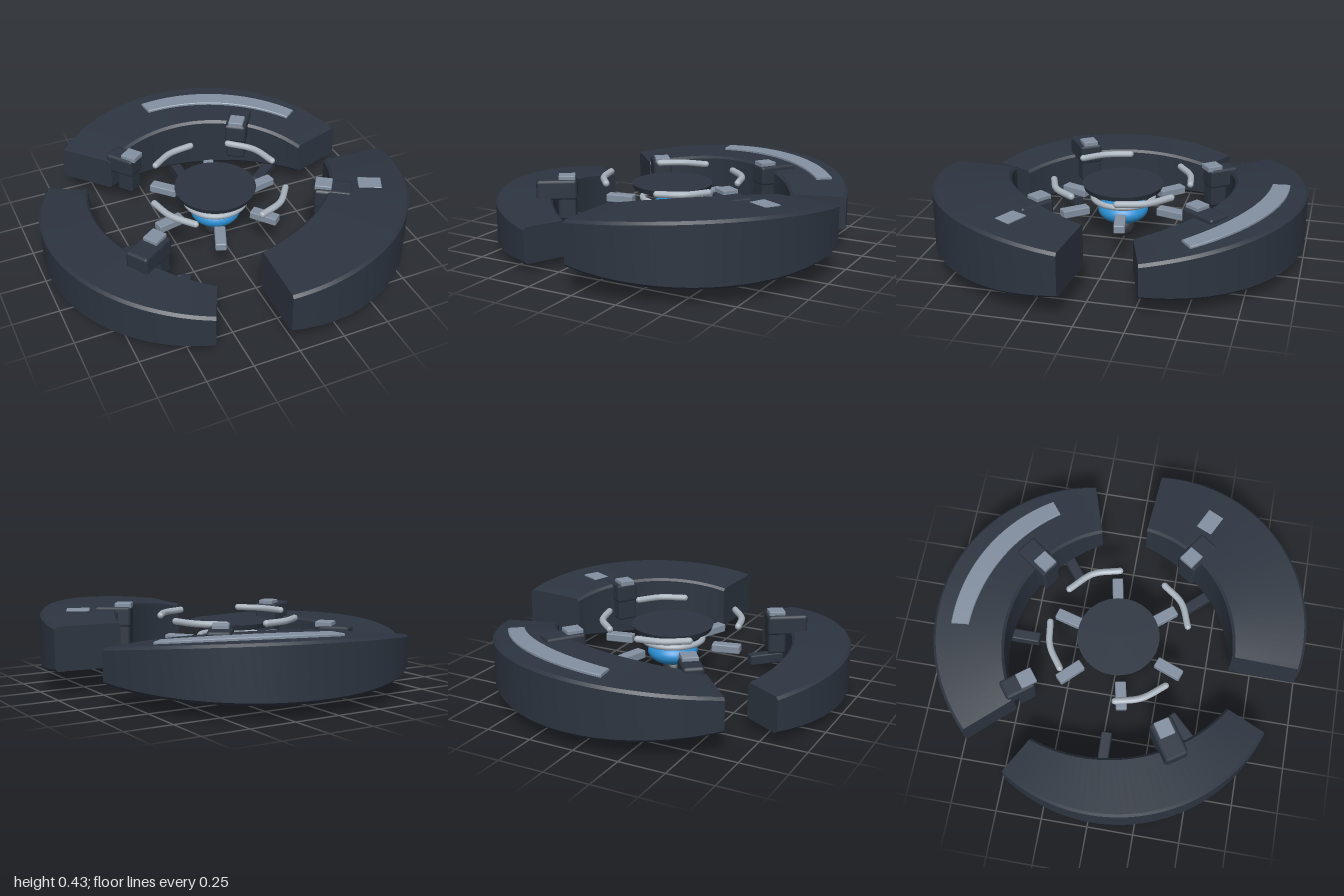
import * as THREE from 'three';
import { toCreasedNormals } from 'three/addons/utils/BufferGeometryUtils.js';
import { RoundedBoxGeometry } from 'three/addons/geometries/RoundedBoxGeometry.js';

const material = (name, color) => {
  const m = new THREE.MeshStandardMaterial({ color });
  m.name = name;
  return m;
};

// Plan arc (x, z) through three points, returned as a function of t in 0..1
function arcThrough([a, b, c]) {
  const sq = (p) => p[0] * p[0] + p[1] * p[1];
  const d = 2 * (a[0] * (b[1] - c[1]) + b[0] * (c[1] - a[1]) + c[0] * (a[1] - b[1]));
  const cx = (sq(a) * (b[1] - c[1]) + sq(b) * (c[1] - a[1]) + sq(c) * (a[1] - b[1])) / d;
  const cz = (sq(a) * (c[0] - b[0]) + sq(b) * (a[0] - c[0]) + sq(c) * (b[0] - a[0])) / d;
  const r = Math.hypot(a[0] - cx, a[1] - cz);
  const start = Math.atan2(a[1] - cz, a[0] - cx);
  let sweep = Math.atan2(c[1] - cz, c[0] - cx) - start;
  while (sweep < 0) sweep += Math.PI * 2;
  return (t) => [cx + r * Math.cos(start + sweep * t), cz + r * Math.sin(start + sweep * t)];
}

// Chamfered section swept between an outer and an inner arc, with varying bottom and top
function curvedBlock(outerPts, innerPts, bottom, top, chamfer, steps = 40) {
  const outer = arcThrough(outerPts), inner = arcThrough(innerPts);
  const positions = [], indices = [], n = 8;
  for (let s = 0; s <= steps; s++) {
    const t = s / steps, o = outer(t), i = inner(t), y0 = bottom(t), y1 = top(t);
    const k = chamfer / Math.hypot(o[0] - i[0], o[1] - i[1]);
    const loop = [[k, y0], [1 - k, y0], [1, y0 + chamfer], [1, y1 - chamfer],
      [1 - k, y1], [k, y1], [0, y1 - chamfer], [0, y0 + chamfer]];
    for (const [w, y] of loop) {
      positions.push(i[0] + (o[0] - i[0]) * w, y, i[1] + (o[1] - i[1]) * w);
    }
  }
  for (let s = 0; s < steps; s++) {
    for (let j = 0; j < n; j++) {
      const a = s * n + j, b = s * n + (j + 1) % n;
      indices.push(a, b, b + n, a, b + n, a + n);
    }
  }
  for (let j = 1; j < n - 1; j++) {
    const e = steps * n;
    indices.push(0, j + 1, j, e, e + j, e + j + 1);
  }
  const g = new THREE.BufferGeometry();
  g.setAttribute('position', new THREE.Float32BufferAttribute(positions, 3));
  g.setIndex(indices);
  return toCreasedNormals(g, 0.5);
}

// Height that bows from its middle value to its end value
const bow = (mid, end) => (t) => mid + (end - mid) * (2 * t - 1) ** 2;

export function createModel() {
  const dark = material('dark slate', 0x2d3541);
  const charcoal = material('charcoal', 0x30343b);
  const steel = material('steel grey', 0x8390a1);
  const silver = material('silver grey', 0xa9b3bd);
  const blue = material('core blue', 0x2b8fd4);
  const model = new THREE.Group();

  const add = (name, geometry, mat, x = 0, y = 0, z = 0) => {
    const mesh = new THREE.Mesh(geometry, mat);
    mesh.name = name;
    mesh.position.set(x, y, z);
    model.add(mesh);
    return mesh;
  };
  // Box whose length follows the direction (angle in plan)
  const block = (name, mat, [x, y, z], [l, h, w], angle = Math.atan2(z, x)) => {
    const radius = Math.min(l, h, w) * 0.15;
    add(name, new RoundedBoxGeometry(l, h, w, 1, radius), mat, x, y, z).rotation.y = -angle;
  };

  // Three outer ring segments
  const backTop = bow(0.365, 0.3);
  add('backSegment', curvedBlock(
    [[-0.665, -0.725], [0, -1], [0.885, -0.29]],
    [[-0.45, -0.49], [-0.09, -0.605], [0.6, -0.2]],
    bow(0.07, 0.12), backTop, 0.014), dark);
  add('rightSegment', curvedBlock(
    [[-0.385, 0.855], [-0.98, 0.02], [-0.83, -0.48]],
    [[-0.285, 0.635], [-0.68, -0.06], [-0.625, -0.365]],
    bow(0.028, 0.048), bow(0.283, 0.24), 0.014), dark);
  add('frontSegment', curvedBlock(
    [[0.98, 0.08], [0.72, 0.735], [-0.045, 0.985]],
    [[0.625, 0.05], [0.41, 0.43], [-0.035, 0.62]],
    bow(0.08, 0.13), bow(0.41, 0.362), 0.014), dark);

  // Inlaid strip and patch on the segment tops
  const along = (u) => 0.32 + 0.545 * u;
  add('topStrip', curvedBlock(
    [[-0.105, -0.9], [0.43, -0.77], [0.72, -0.505]],
    [[-0.095, -0.805], [0.375, -0.68], [0.65, -0.45]],
    (u) => backTop(along(u)) - 0.02, (u) => backTop(along(u)) + 0.014, 0.004), steel);
  block('topPatch', steel, [0.715, 0.39, 0.39], [0.125, 0.03, 0.095], 0.45);

  // Clamps on the inner rims: upper block, lower leg and a small pad
  const clamps = [
    { x: -0.37, z: -0.485, top: 0.34, length: 0.17, width: 0.11 },
    { x: 0.36, z: -0.515, top: 0.378, length: 0.215, width: 0.125 },
    { x: -0.535, z: 0.355, top: 0.37, length: 0.22, width: 0.13 },
    { x: 0.52, z: 0.35, top: 0.412, length: 0.2, width: 0.125 },
  ];
  for (const { x, z, top, length, width } of clamps) {
    const r = Math.hypot(x, z);
    const at = (offset, y) => [x * (1 + offset / r), y, z * (1 + offset / r)];
    block('clampBlock', dark, at(0, top - 0.055), [length, 0.11, width]);
    block('clampLeg', dark, at(-length / 2 + 0.055, top - 0.12), [0.1, 0.2, width * 0.9]);
    block('clampPad', steel, at(-0.055, top + 0.005), [0.09, 0.03, 0.085]);
  }

  // Dark pegs reaching inwards from the segments
  const pegs = [
    [[0, 0.035, -0.56], [0.21, 0.07, 0.06]],
    [[0.45, 0.065, -0.34], [0.21, 0.05, 0.06]],
    [[0.38, 0.055, 0.41], [0.22, 0.05, 0.06]],
    [[-0.585, 0.047, 0.02], [0.21, 0.06, 0.06]],
    [[-0.4, 0.06, 0.42], [0.21, 0.06, 0.06]],
  ];
  for (const [at, size] of pegs) block('innerPeg', dark, at, size);

  // Grey spokes around the core
  const spokes = [[-0.225, -0.23], [0.08, -0.29], [0.285, -0.055],
    [0.18, 0.22], [-0.115, 0.295], [-0.31, 0.065]];
  for (const [x, z] of spokes) block('coreSpoke', steel, [x, 0.222, z], [0.155, 0.045, 0.06]);

  // Four floating curved bars
  const bars = [
    [[-0.255, -0.275], [-0.14, -0.35], [-0.005, -0.375]],
    [[0.2, -0.31], [0.31, -0.2], [0.355, -0.055]],
    [[0.31, 0.2], [0.225, 0.305], [0.095, 0.36]],
    [[-0.385, 0.045], [-0.345, 0.18], [-0.255, 0.295]],
  ];
  for (const points of bars) {
    const curve = new THREE.CatmullRomCurve3(points.map(([x, z]) => new THREE.Vector3(x, 0.362, z)));
    add('curvedBar', new THREE.TubeGeometry(curve, 20, 0.018, 10), silver);
    for (const [x, z] of [points[0], points[2]]) {
      add('curvedBarEnd', new THREE.SphereGeometry(0.018, 10, 8), silver, x, 0.362, z);
    }
  }

  // Core: cap disc, ring, glowing bowl and lower ball
  const cx = -0.015;
  add('capDisc', toCreasedNormals(new THREE.CylinderGeometry(0.222, 0.212, 0.028, 64), 0.5), dark, cx, 0.322, 0);
  const ring = add('coreRing', new THREE.TorusGeometry(0.165, 0.016, 12, 48), silver, cx, 0.253, 0);
  ring.rotation.x = Math.PI / 2;
  add('coreBowl', new THREE.SphereGeometry(0.138, 40, 24), blue, cx, 0.18, 0).scale.y = 0.52;
  add('lowerBall', new THREE.SphereGeometry(0.06, 28, 18), charcoal, cx - 0.005, 0.075, 0);

  return model;
}
